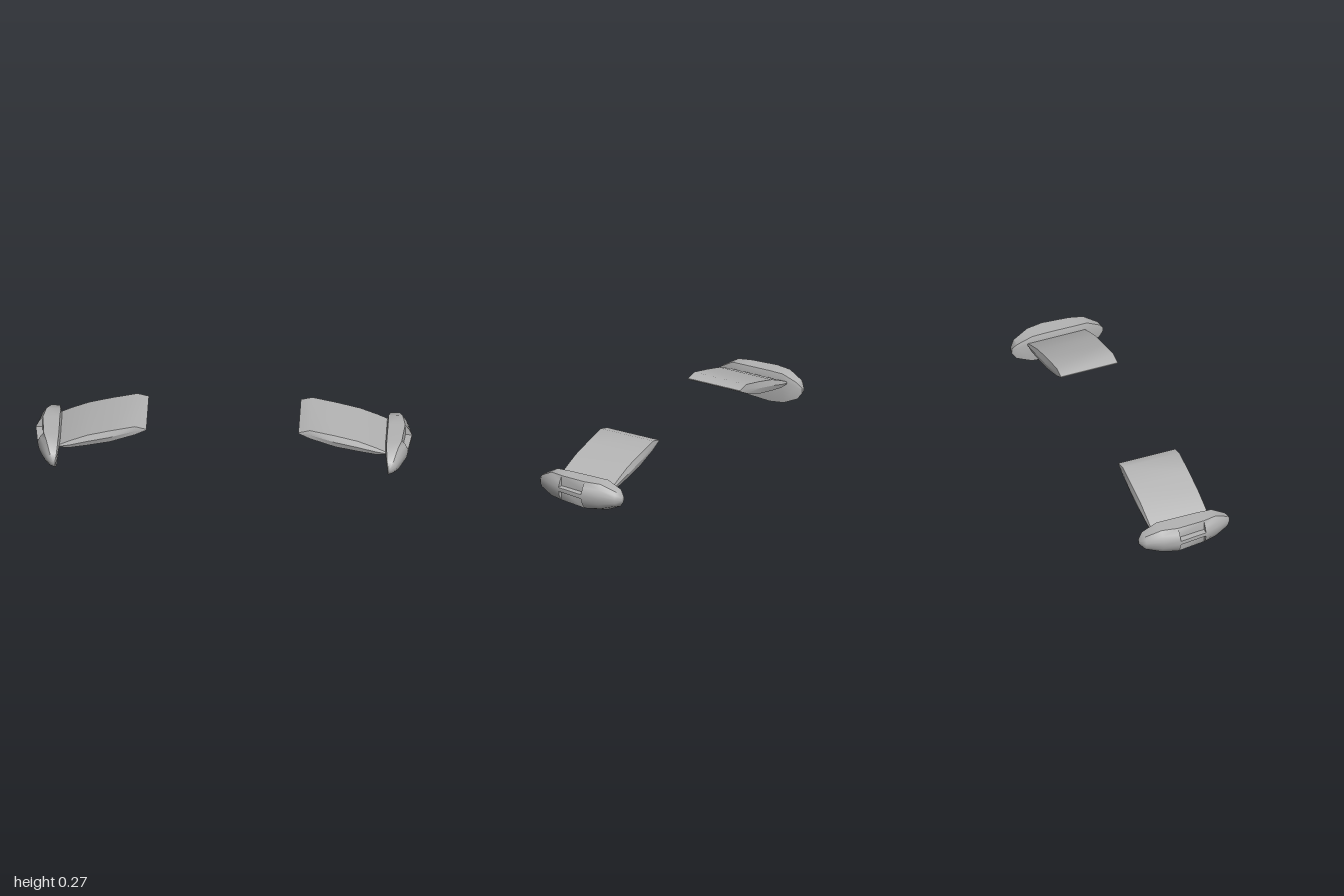
import * as THREE from 'three';
import { toCreasedNormals } from 'three/addons/utils/BufferGeometryUtils.js';

// Skins a list of equal-length loops (counter-clockwise seen from the first one's
// outer side) and caps both ends. side = -1 mirrors the result in x.
function loft(loops, side, crease) {
  const pos = [];
  const tri = (a, b, c) => {
    const ab = b.clone().sub(a), ac = c.clone().sub(a);
    if (ab.cross(ac).length() < 1e-9) return;
    for (const p of side > 0 ? [a, b, c] : [a, c, b]) pos.push(p.x * side, p.y, p.z);
  };
  const n = loops[0].length;
  for (let s = 0; s < loops.length - 1; s++) {
    for (let i = 0; i < n; i++) {
      const j = (i + 1) % n;
      const a = loops[s][i], b = loops[s + 1][i], c = loops[s][j], d = loops[s + 1][j];
      tri(a, b, c);
      tri(c, b, d);
    }
  }
  const first = loops[0], last = loops[loops.length - 1];
  for (let i = 1; i < n - 1; i++) {
    tri(first[0], first[i], first[i + 1]);
    tri(last[0], last[i + 1], last[i]);
  }
  const g = new THREE.BufferGeometry();
  g.setAttribute('position', new THREE.Float32BufferAttribute(pos, 3));
  return toCreasedNormals(g, crease);
}

const V = (x, y, z) => new THREE.Vector3(x, y, z);

// Wing stations: x, top y, bottom y, bulge of the front and back edges
const WING = [
  [0.404, 0.252, 0.247, 0],
  [0.465, 0.267, 0.216, 0.005],
  [0.6, 0.237, 0.168, 0.012],
  [0.72, 0.206, 0.143, 0.012],
  [0.815, 0.168, 0.126, 0.008],
  [0.87, 0.142, 0.128, 0.004],
];

function wingLoops() {
  const front = 0.15, back = -0.177;
  return WING.map(([x, top, bot, bulge]) => {
    const mid = (top + bot) / 2;
    return [
      V(x, mid, front + bulge), V(x, top, front), V(x, top, back),
      V(x, mid, back - bulge * 0.8), V(x, bot, back), V(x, bot, front),
    ];
  });
}

// Pod cross-section in unit coordinates, plain and with the two window recesses
const PLAIN = [[0.07, 1], [0, 0.78], [0.15, 0], [0.75, 0.17], [0.93, 0.36],
  [0.98, 0.52], [1, 0.66], [0.89, 0.84], [0.73, 1]];
const NOTCHED = PLAIN.map((p) => p.slice());
NOTCHED[3] = [0.74, 0.17];
NOTCHED[4] = [0.74, 0.52];
NOTCHED[7] = [0.74, 0.66];

// Pod stations: z, inner x, outer x, bottom y, top y, section
const POD = [
  [0.26, 0.884, 0.9, 0.085, 0.112, PLAIN],
  [0.24, 0.876, 0.925, 0.058, 0.137, PLAIN],
  [0.165, 0.867, 0.96, 0.019, 0.178, PLAIN],
  [0.09, 0.863, 0.985, 0.012, 0.18, PLAIN],
  [0.09, 0.863, 0.985, 0.012, 0.18, NOTCHED],
  [-0.06, 0.863, 1, 0, 0.181, NOTCHED],
  [-0.06, 0.863, 1, 0, 0.181, PLAIN],
  [-0.15, 0.863, 0.978, 0.012, 0.18, PLAIN],
  [-0.235, 0.872, 0.945, 0.05, 0.146, PLAIN],
  [-0.26, 0.888, 0.912, 0.085, 0.115, PLAIN],
];

function podLoops() {
  return POD.map(([z, x0, x1, y0, y1, section]) =>
    section.map(([u, v]) => V(x0 + u * (x1 - x0), y0 + v * (y1 - y0), z)));
}

export function createModel() {
  const model = new THREE.Group();
  model.name = 'wingPair';
  const grey = new THREE.MeshStandardMaterial({ color: 0xb4b4b4 });
  grey.name = 'grey';

  for (const [side, label] of [[1, 'left'], [-1, 'right']]) {
    const wing = new THREE.Mesh(loft(wingLoops(), side, 0.5), grey);
    wing.name = label + 'Wing';
    const pod = new THREE.Mesh(loft(podLoops(), side, 0.75), grey);
    pod.name = label + 'Pod';
    model.add(wing, pod);
  }
  return model;
}
